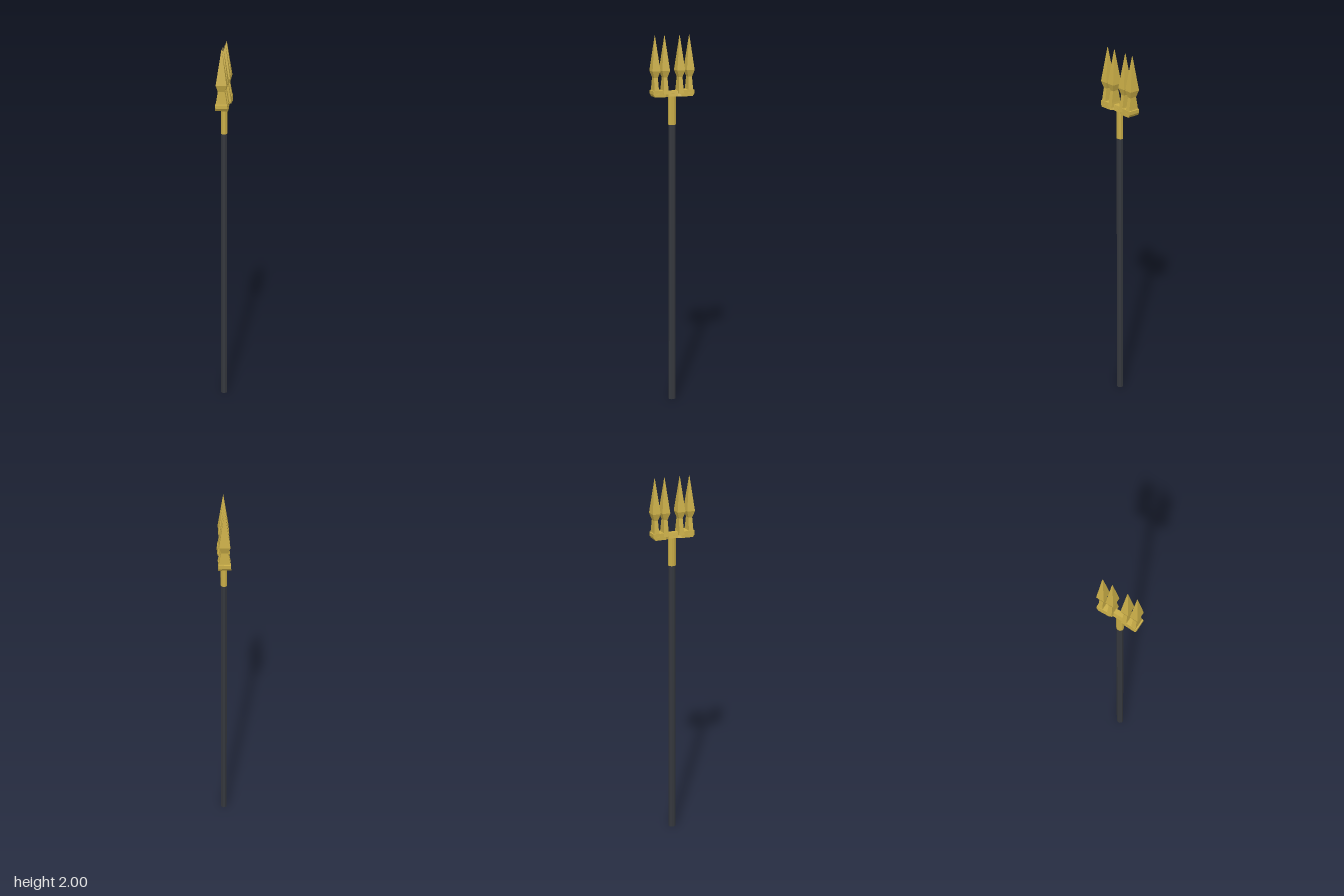
import * as THREE from 'three';

// Closed flat-sided solid through rings of points (counter-clockwise seen from the end of the loft)
function loft(rings) {
  const pos = [];
  const tri = (a, b, c) => pos.push(...a, ...b, ...c);
  const n = rings[0].length;
  for (let r = 0; r < rings.length - 1; r++) {
    const lo = rings[r], hi = rings[r + 1];
    for (let i = 0; i < n; i++) {
      const j = (i + 1) % n;
      tri(lo[i], lo[j], hi[j]);
      tri(lo[i], hi[j], hi[i]);
    }
  }
  const first = rings[0], last = rings[rings.length - 1];
  for (let i = 1; i < n - 1; i++) {
    tri(first[0], first[i + 1], first[i]);
    tri(last[0], last[i], last[i + 1]);
  }
  const g = new THREE.BufferGeometry();
  g.setAttribute('position', new THREE.Float32BufferAttribute(pos, 3));
  g.computeVertexNormals();
  return g;
}

// Rectangular ring in a horizontal plane
const flatRing = ([y, hx, hz, cz]) =>
  [[hx, y, cz + hz], [hx, y, cz - hz], [-hx, y, cz - hz], [-hx, y, cz + hz]];

// Upright ring across the bar, narrower at the top
const barRing = ([z, y0, y1, hx, topHx]) =>
  [[-hx, y0, z], [hx, y0, z], [topHx, y1, z], [-topHx, y1, z]];

export function createModel() {
  const gold = new THREE.MeshStandardMaterial({ color: 0xc9ad47 });
  gold.name = 'gold';
  const iron = new THREE.MeshStandardMaterial({ color: 0x34373d });
  iron.name = 'darkIron';

  const model = new THREE.Group();
  model.name = 'fourProngedSpear';
  const add = (name, geometry, material) => {
    const mesh = new THREE.Mesh(geometry, material);
    mesh.name = name;
    model.add(mesh);
    return mesh;
  };

  // Octagonal rods
  const rod = (name, rTop, rBottom, y0, y1, material) => {
    const g = new THREE.CylinderGeometry(rTop, rBottom, y1 - y0, 8).toNonIndexed();
    g.rotateY(Math.PI / 8);
    g.scale(0.9, 1, 1.05);
    g.translate(0, (y0 + y1) / 2, 0);
    g.computeVertexNormals();
    add(name, g, material);
  };
  rod('shaft', 0.0178, 0.0195, 0, 1.535, iron);
  rod('ferrule', 0.0195, 0.0195, 1.535, 1.7, gold);

  // Crossbar, slim in the middle and flared under the prongs
  add('crossbar', loft([
    [-0.113, 1.70, 1.718, 0.032, 0.031],
    [-0.103, 1.685, 1.72, 0.033, 0.031],
    [-0.045, 1.685, 1.718, 0.031, 0.029],
    [-0.026, 1.685, 1.714, 0.019, 0.013],
    [0.026, 1.685, 1.714, 0.019, 0.013],
    [0.045, 1.685, 1.718, 0.031, 0.029],
    [0.103, 1.685, 1.72, 0.033, 0.031],
    [0.113, 1.70, 1.718, 0.032, 0.031],
  ].map(barRing)), gold);

  // Prongs: flared foot, narrow neck, spear point
  for (const side of [-1, 1]) {
    for (const [label, z] of [['outer', 0.094], ['inner', 0.0415]]) {
      const cz = side * z;
      const sections = [
        [1.70, 0.032, 0.015, cz],
        [1.725, 0.028, 0.0125, cz],
        [1.785, 0.018, 0.010, cz],
        [1.82, 0.0275, 0.0215, cz],
        [2.0, 0.0008, 0.0008, cz],
      ];
      add(label + (side > 0 ? 'FrontProng' : 'BackProng'), loft(sections.map(flatRing)), gold);
    }
  }

  for (const m of [gold, iron]) m.flatShading = false;
  // The whole weapon is turned slightly about its length
  model.rotation.y = -0.145;
  const group = new THREE.Group();
  group.name = 'spear';
  group.add(model);
  return group;
}
